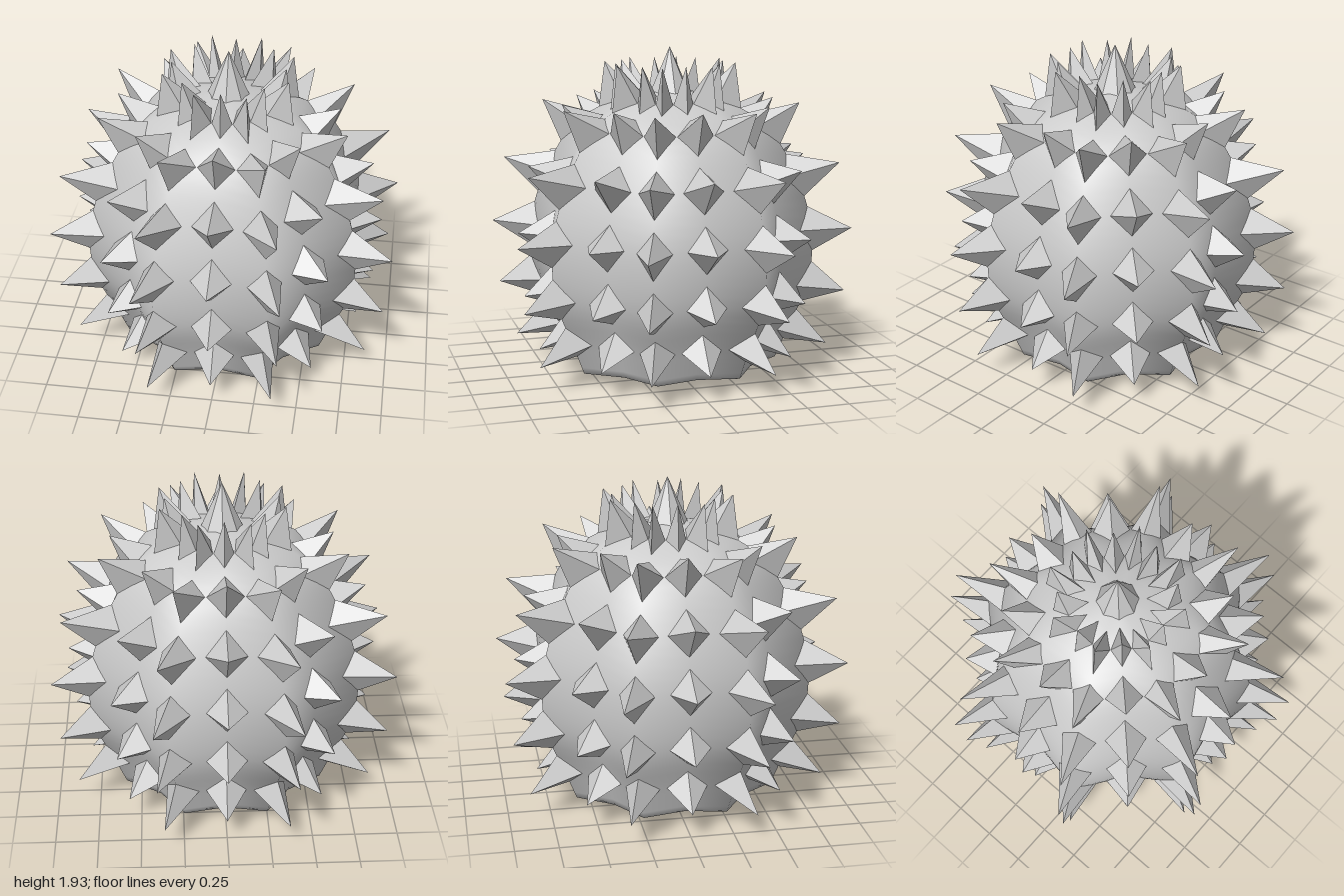
import * as THREE from 'three';
import { mergeVertices } from 'three/addons/utils/BufferGeometryUtils.js';

const SPIKES = 16;
const STEP = (Math.PI * 2) / SPIKES;
// Body profile as [radius, height]; the six inner points carry the spike rows
const PROFILE = [[0.64, 0.065], [0.72, 0.26], [0.83, 0.53], [0.845, 0.865], [0.75, 1.18], [0.57, 1.47], [0.31, 1.62], [0, 1.69]];
// Spike tips as [radius, height], lowest row first
const TIPS = [[0.945, 0.16], [1.045, 0.49], [1.08, 0.87], [1.0, 1.26], [0.76, 1.61], [0.385, 1.84]];

const curve = new THREE.CatmullRomCurve3(PROFILE.map(([r, y]) => new THREE.Vector3(r, y, 0)));
const profileAt = (i) => curve.getPoint(i / (PROFILE.length - 1));

// Eight shallow lobes around the body: full radius on every odd spike column
const lobe = (a) => 0.925 - 0.075 * Math.cos(8 * a);
const place = (r, y, a) => new THREE.Vector3(r * lobe(a) * Math.cos(a), y, r * lobe(a) * Math.sin(a));

// Smooth body with one flat facet between neighbouring spike columns
function createBody(material) {
  const points = [new THREE.Vector2(0, 0)];
  for (let i = 0; i <= 35; i++) {
    const p = profileAt(i / 5);
    points.push(new THREE.Vector2(Math.max(0, p.x), p.y));
  }
  let geometry = new THREE.LatheGeometry(points, SPIKES);
  const pos = geometry.attributes.position;
  for (let i = 0; i < pos.count; i++) {
    const s = lobe(Math.atan2(pos.getZ(i), pos.getX(i)));
    pos.setX(i, pos.getX(i) * s);
    pos.setZ(i, pos.getZ(i) * s);
  }
  geometry.deleteAttribute('uv');
  geometry.deleteAttribute('normal');
  geometry = mergeVertices(geometry, 1e-4);
  geometry.computeVertexNormals();
  const body = new THREE.Mesh(geometry, material);
  body.name = 'body';
  return body;
}

// One ring of four-sided spikes whose base corners lie on the body
function createSpikeRow(row, material) {
  const mid = profileAt(row + 1);
  const upper = profileAt(row + 1.4);
  const lower = profileAt(row + 0.6);
  const spread = Math.min(0.12 / mid.x / STEP, 0.48);
  const [tipR, tipY] = TIPS[row];
  const positions = [];
  for (let k = 0; k < SPIKES; k++) {
    const a = k * STEP;
    const side = (dir) => place(mid.x, mid.y, a).lerp(place(mid.x, mid.y, a + dir * STEP), spread);
    const tip = place(tipR, tipY, a);
    const base = [place(upper.x, upper.y, a), side(1), place(lower.x, lower.y, a), side(-1)];
    for (let j = 0; j < 4; j++) positions.push(...tip, ...base[j], ...base[(j + 1) % 4]);
  }
  const geometry = new THREE.BufferGeometry();
  geometry.setAttribute('position', new THREE.Float32BufferAttribute(positions, 3));
  geometry.computeVertexNormals();
  const mesh = new THREE.Mesh(geometry, material);
  mesh.name = `spikeRow${row + 1}`;
  return mesh;
}

export function createModel() {
  const smooth = new THREE.MeshStandardMaterial({ color: 0xcccccc });
  const faceted = new THREE.MeshStandardMaterial({ color: 0xcccccc, flatShading: true });
  const model = new THREE.Group();
  model.name = 'spikyBall';
  model.add(createBody(smooth));

  const spikes = new THREE.Group();
  spikes.name = 'spikes';
  TIPS.forEach((_, row) => spikes.add(createSpikeRow(row, faceted)));

  // Upright spike at the crown
  const crown = new THREE.Mesh(new THREE.ConeGeometry(0.125, 0.28, 8), faceted);
  crown.name = 'crownSpike';
  crown.position.y = 1.79;
  spikes.add(crown);

  model.add(spikes);
  return model;
}
